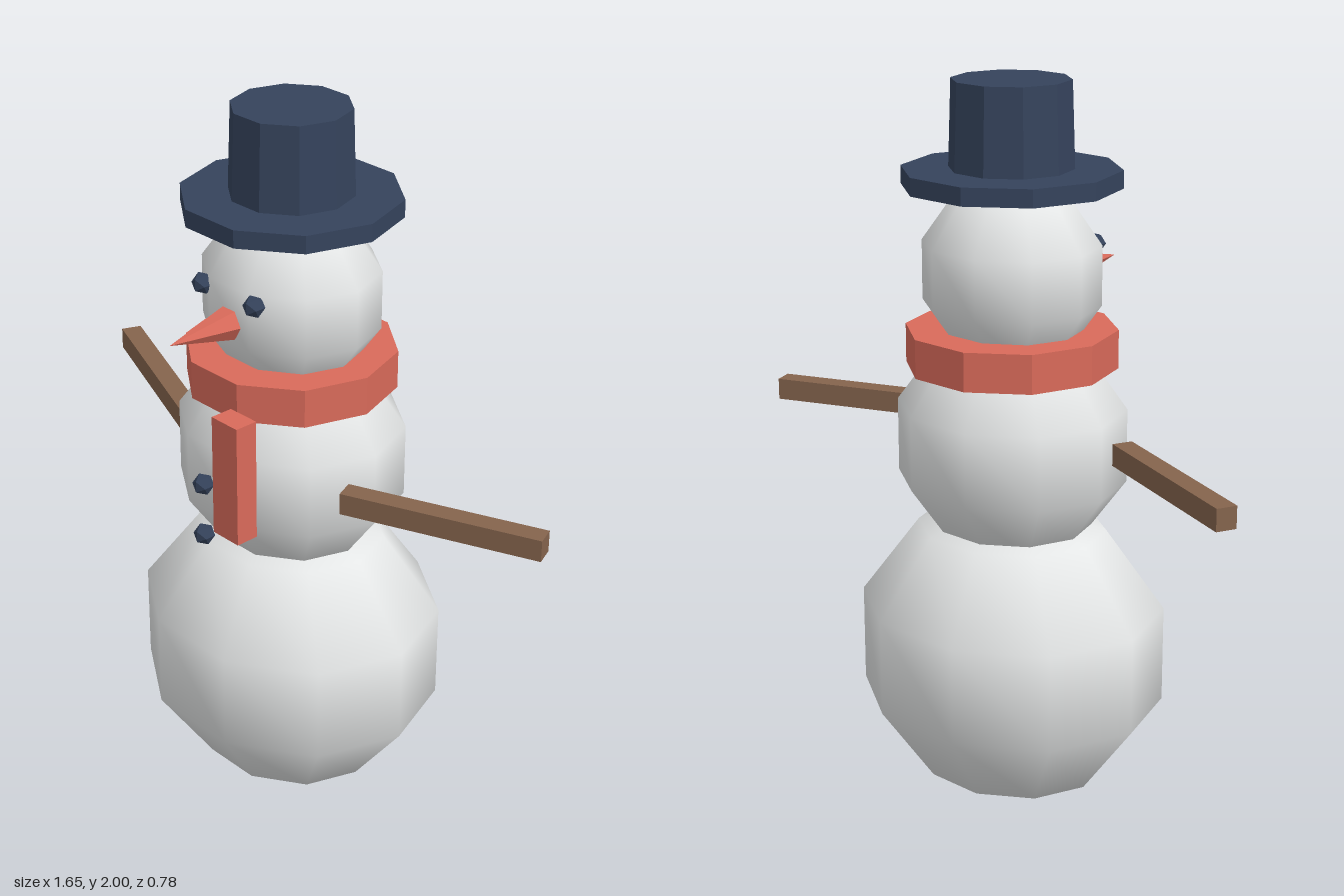
import * as THREE from 'three';

const paint = (name, color) => Object.assign(new THREE.MeshStandardMaterial({ color }), { name });

// Gives every facet its own normal
function faceted(geometry) {
  const flat = geometry.index ? geometry.toNonIndexed() : geometry;
  flat.computeVertexNormals();
  return flat;
}

export function createModel() {
  const snow = paint('snow white', 0xe4e6e6);
  const navy = paint('navy felt', 0x35435c);
  const red = paint('scarf red', 0xd96a5a);
  const wood = paint('wood brown', 0x85644d);

  const model = new THREE.Group();
  model.name = 'snowman';
  const axisZ = -0.024; // the body stands slightly behind the centre

  function add(name, geometry, material, x, y, z) {
    const mesh = new THREE.Mesh(geometry, material);
    mesh.name = name;
    mesh.position.set(x, y, z);
    model.add(mesh);
    return mesh;
  }

  // Smooth-shaded snowballs with ten sides and five bands
  for (const [name, y, rx, ry, rz] of [
    ['lowerBody', 0.435, 0.46, 0.435, 0.41],
    ['upperBody', 1.03, 0.338, 0.327, 0.31],
    ['head', 1.492, 0.259, 0.26, 0.24],
  ]) {
    const ball = new THREE.SphereGeometry(1, 10, 5).scale(rx, ry, rz);
    add(name, ball, snow, 0, y, axisZ);
  }

  // Ten-sided rings: scarf and hat, with corners on the x axis
  function drum(name, material, topRadius, bottomRadius, y0, y1) {
    const g = new THREE.CylinderGeometry(topRadius, bottomRadius, y1 - y0, 10, 1, false, Math.PI / 2);
    add(name, faceted(g), material, 0, (y0 + y1) / 2, axisZ);
  }
  drum('scarfRing', red, 0.285, 0.285, 1.24, 1.345);
  drum('hatBrim', navy, 0.292, 0.292, 1.722, 1.77);
  drum('hatCrown', navy, 0.158, 0.166, 1.765, 2.0);

  // Hanging scarf end
  add('scarfTail', new THREE.BoxGeometry(0.095, 0.34, 0.066), red, 0.112, 1.097, 0.279);

  // Six-sided nose pointing forward
  const nose = new THREE.ConeGeometry(0.046, 0.2, 6, 1, false, Math.PI / 2).rotateX(Math.PI / 2);
  add('nose', faceted(nose), red, 0, 1.47, 0.29);

  // Eyes and buttons
  const coal = faceted(new THREE.IcosahedronGeometry(0.03, 0));
  for (const [side, s] of [['left', 1], ['right', -1]]) {
    add(side + 'Eye', coal, navy, s * 0.098, 1.55, 0.195);

    // Arms sweep backward and stay level
    const arm = add(side + 'Arm', new THREE.BoxGeometry(0.548, 0.06, 0.057), wood, s * 0.561, 1.036, -0.028);
    arm.rotation.y = s * THREE.MathUtils.degToRad(22);
  }
  add('upperButton', coal, navy, 0, 1.035, 0.29);
  add('lowerButton', coal, navy, 0, 0.883, 0.29);

  return model;
}
